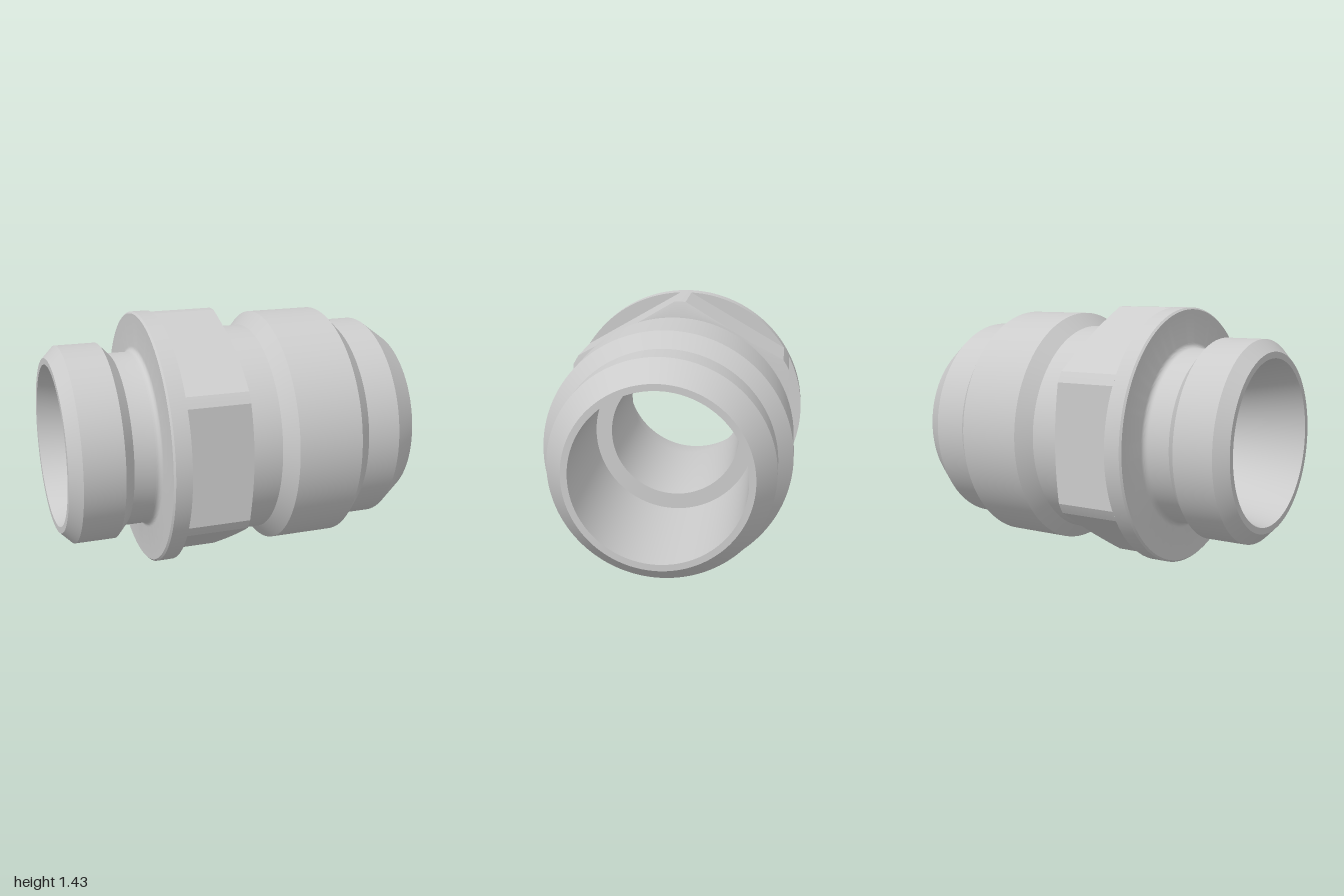
import * as THREE from 'three';
import { toCreasedNormals } from 'three/addons/utils/BufferGeometryUtils.js';

const AXIS_Y = 0.715;

export function createModel() {
  const group = new THREE.Group();
  const material = new THREE.MeshStandardMaterial({ color: 0xcccccc });

  const add = (name, geometry) => {
    const mesh = new THREE.Mesh(toCreasedNormals(geometry, 0.38), material);
    mesh.name = name;
    mesh.position.y = AXIS_Y;
    group.add(mesh);
  };

  // Revolve [x, radius] points about the x axis
  const turned = (name, profile) => {
    const points = profile.map(([x, r]) => new THREE.Vector2(r, x));
    add(name, new THREE.LatheGeometry(points, 128).rotateZ(-Math.PI / 2));
  };

  // Concave fillet between the neck and the flange face
  const fillet = [];
  for (let i = 0; i <= 6; i++) {
    const a = (i / 6) * Math.PI / 2;
    fillet.push([-0.53 + 0.03 * Math.sin(a), 0.52 - 0.03 * Math.cos(a)]);
  }

  turned('spigotAndFlange', [
    [-1, 0.455], [-1, 0.49], [-0.935, 0.555], [-0.71, 0.555], [-0.65, 0.49],
    ...fillet,
    [-0.5, 0.705], [-0.49, 0.715], [-0.4, 0.715], [-0.4, 0.6],
  ]);

  turned('socketBody', [
    [-0.03, 0.597], [0.15, 0.597], [0.22, 0.672], [0.59, 0.672],
    [0.67, 0.592], [0.86, 0.592], [1, 0.49], [1, 0.455],
  ]);

  // Counterbore on the right, narrow passage, flared mouth on the left
  turned('bore', [
    [1, 0.455], [0.2, 0.455], [0.2, 0.365], [-0.58, 0.365], [-1, 0.455],
  ]);

  add('hexCollar', hexCollar());
  return group;
}

// Hexagon with rounded-off corners and a conical chamfer on its right end
function hexCollar() {
  const flat = 0.635, corner = 0.715, left = -0.4, right = -0.03;
  const half = Math.acos(flat / corner);
  const angles = [];
  for (let side = 0; side < 6; side++) {
    const mid = side * Math.PI / 3;
    for (let i = 0; i <= 16; i++) angles.push(mid - half + (i / 16) * 2 * half);
    const gap = Math.PI / 3 - 2 * half;
    for (let i = 1; i < 4; i++) angles.push(mid + half + (i / 4) * gap);
  }

  const positions = [], indices = [], rings = 4;
  for (const a of angles) {
    const off = a - Math.round(a / (Math.PI / 3)) * Math.PI / 3;
    const r = Math.min(corner, flat / Math.cos(off));
    const edge = right - 0.022 * (r - flat + 0.002) / (corner - flat);
    const section = [[left, r], [edge, r], [right, flat - 0.002], [right, 0.59]];
    for (const [x, radius] of section) {
      positions.push(x, radius * Math.sin(a), radius * Math.cos(a));
    }
  }
  const n = angles.length;
  for (let i = 0; i < n; i++) {
    for (let k = 0; k < rings - 1; k++) {
      const a = i * rings + k, b = ((i + 1) % n) * rings + k;
      indices.push(a, a + 1, b, b, a + 1, b + 1);
    }
  }
  const geometry = new THREE.BufferGeometry();
  geometry.setAttribute('position', new THREE.Float32BufferAttribute(positions, 3));
  geometry.setIndex(indices);
  return geometry;
}
